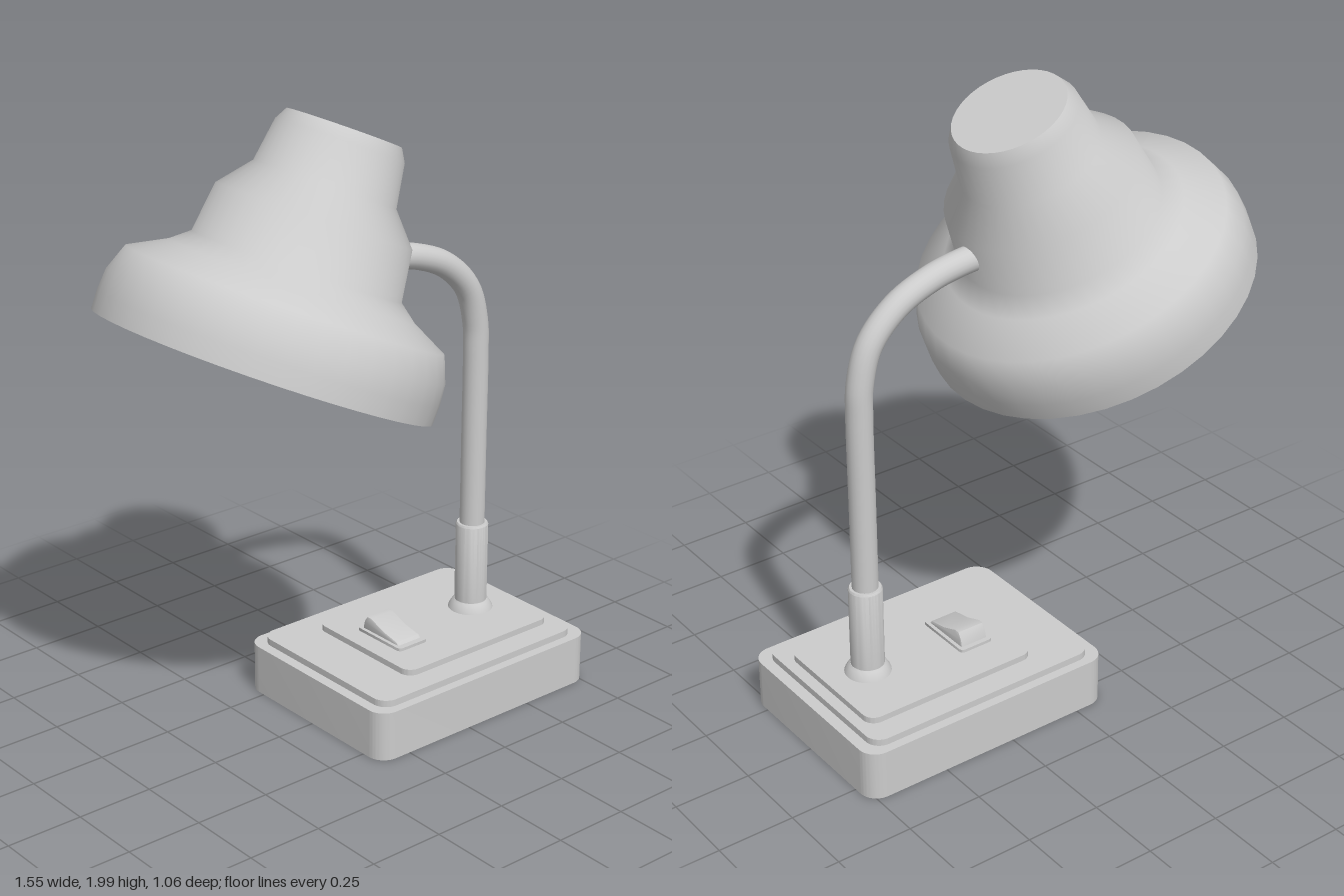
import * as THREE from 'three';
import { toCreasedNormals } from 'three/addons/utils/BufferGeometryUtils.js';

const material = new THREE.MeshStandardMaterial({ color: 0xcccccc });
const shellMaterial = new THREE.MeshStandardMaterial({ color: 0xcccccc, side: THREE.DoubleSide });

function addMesh(parent, name, geometry, crease = 0.6, mat = material) {
  const mesh = new THREE.Mesh(toCreasedNormals(geometry, crease), mat);
  mesh.name = name;
  parent.add(mesh);
  return mesh;
}

const lathe = (points, segments) =>
  new THREE.LatheGeometry(points.map(([r, y]) => new THREE.Vector2(r, y)), segments);

// Rounded rectangular slab between x0..x1, -halfZ..halfZ and y0..y1
function slab(x0, x1, halfZ, y0, y1, r) {
  const s = new THREE.Shape();
  s.moveTo(x0 + r, -halfZ);
  s.absarc(x1 - r, -halfZ + r, r, -Math.PI / 2, 0);
  s.absarc(x1 - r, halfZ - r, r, 0, Math.PI / 2);
  s.absarc(x0 + r, halfZ - r, r, Math.PI / 2, Math.PI);
  s.absarc(x0 + r, -halfZ + r, r, Math.PI, Math.PI * 1.5);
  const g = new THREE.ExtrudeGeometry(s, { depth: y1 - y0, bevelEnabled: false, curveSegments: 8 });
  return g.rotateX(-Math.PI / 2).translate(0, y0, 0);
}

export function createModel() {
  const lamp = new THREE.Group();
  lamp.name = 'deskLamp';
  const poleX = 0.557;

  // Stepped base
  addMesh(lamp, 'base', slab(-0.115, 0.775, 0.335, 0, 0.163, 0.06));
  addMesh(lamp, 'baseStep', slab(-0.08, 0.737, 0.305, 0.16, 0.185, 0.05));
  addMesh(lamp, 'basePlate', slab(0.09, 0.7, 0.226, 0.18, 0.205, 0.04));

  // Rocker switch, a wedge raised at the back
  addMesh(lamp, 'switchPlate', slab(0.157, 0.277, 0.105, 0.2, 0.215, 0.015));
  const rocker = new THREE.Shape([
    [-0.09, 0.21], [0.09, 0.21], [0.083, 0.24], [0.07, 0.26],
    [0.05, 0.26], [-0.01, 0.237], [-0.075, 0.224],
  ].map(([x, y]) => new THREE.Vector2(x, y)));
  const rockerGeometry = new THREE.ExtrudeGeometry(rocker, {
    depth: 0.084, bevelThickness: 0.006, bevelSize: 0.005, bevelOffset: -0.005, bevelSegments: 2,
  });
  rockerGeometry.rotateY(Math.PI / 2).translate(0.175, 0, 0);
  addMesh(lamp, 'switchRocker', rockerGeometry);

  // Flange and collar that hold the stem
  const flange = addMesh(lamp, 'flange', lathe(
    [[0, 0.2], [0.075, 0.2], [0.071, 0.212], [0.06, 0.23], [0.054, 0.236], [0, 0.236]], 32));
  const collar = addMesh(lamp, 'collar', lathe(
    [[0, 0.23], [0.053, 0.23], [0.053, 0.504], [0.049, 0.51], [0, 0.51]], 32));
  flange.position.x = collar.position.x = poleX;

  // Curved stem
  const path = new THREE.CatmullRomCurve3([
    [poleX, 0.45], [poleX, 0.8], [poleX, 1.1], [0.552, 1.2], [0.515, 1.32],
    [0.42, 1.415], [0.3, 1.467], [0.2, 1.487], [0.1, 1.495],
  ].map(([x, y]) => new THREE.Vector3(x, y, 0)));
  addMesh(lamp, 'stem', new THREE.TubeGeometry(path, 64, 0.041, 20));

  // Tilted bell shade, an open shell
  const shade = addMesh(lamp, 'shade', lathe([
    [0.5275, 0], [0.529, 0.06], [0.524, 0.125], [0.493, 0.207], [0.38, 0.265],
    [0.325, 0.309], [0.304, 0.464], [0.221, 0.561], [0.2, 0.695], [0.178, 0.734], [0, 0.734],
  ], 40), 1.02, shellMaterial);
  shade.position.set(-0.2975, 1.254, 0);
  shade.rotation.z = -0.4387;

  return lamp;
}
